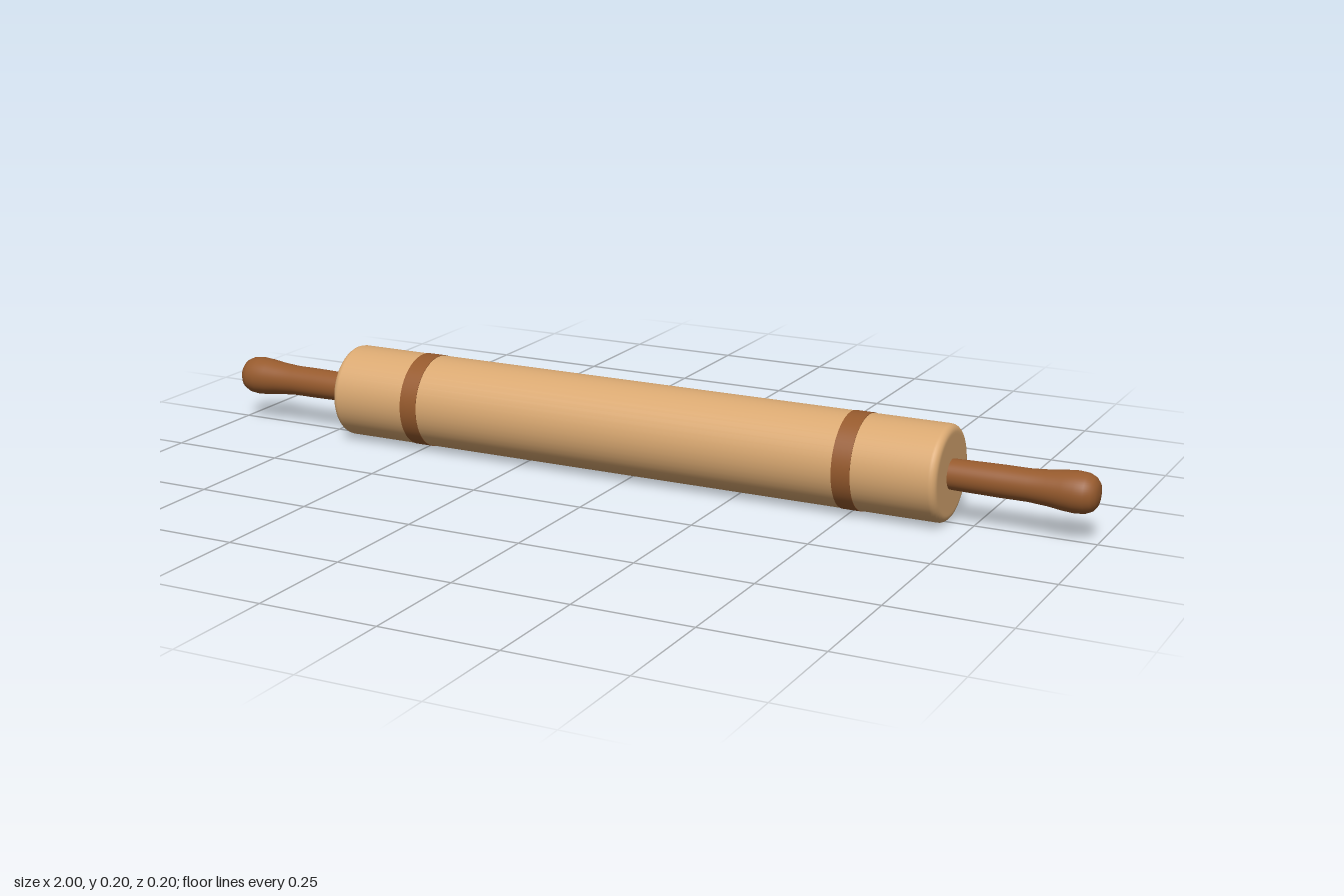
import * as THREE from 'three';

const SEGMENTS = 48;
const AXIS_HEIGHT = 0.1;

// Turned part: profile of [radius, distance along the axis], spun and laid along x
function turned(name, profile, material, side = 1) {
  const points = profile.map(([r, d]) => new THREE.Vector2(r, d));
  const geometry = new THREE.LatheGeometry(points, SEGMENTS);
  geometry.rotateZ(-side * Math.PI / 2);
  const mesh = new THREE.Mesh(geometry, material);
  mesh.name = name;
  return mesh;
}

export function createModel() {
  const paleWood = new THREE.MeshStandardMaterial({ color: 0xd9a871 });
  paleWood.name = 'pale wood';
  const darkWood = new THREE.MeshStandardMaterial({ color: 0x965a2d });
  darkWood.name = 'dark wood';

  const model = new THREE.Group();
  model.name = 'rollingPin';
  const pin = new THREE.Group();
  pin.name = 'pin';
  pin.position.y = AXIS_HEIGHT;
  model.add(pin);

  // Roller with rounded rims
  const radius = 0.0995, half = 0.7, round = 0.015;
  const rim = [];
  for (let i = 0; i <= 6; i++) {
    const a = (i / 6) * Math.PI / 2;
    rim.push([radius - round + round * Math.cos(a), half - round + round * Math.sin(a)]);
  }
  const upper = [...rim, [0.08, half], [0, half]];
  const lower = upper.map(([r, d]) => [r, -d]).reverse();
  pin.add(turned('roller', [...lower, ...upper], paleWood));

  // Handle: slim neck swelling into a domed knob
  const handle = [
    [0.031, 0.69], [0.032, 0.74], [0.033, 0.8], [0.033, 0.86], [0.036, 0.9],
    [0.04, 0.93], [0.042, 0.955], [0.04, 0.975], [0.034, 0.988], [0.024, 0.996],
    [0.012, 0.999], [0, 1],
  ];

  for (const side of [1, -1]) {
    const prefix = side > 0 ? 'left' : 'right';
    pin.add(turned(prefix + 'Handle', handle, darkWood, side));

    // Thin inlaid band around the roller
    const band = new THREE.Mesh(
      new THREE.CylinderGeometry(0.1005, 0.1005, 0.04, SEGMENTS), darkWood);
    band.name = prefix + 'Band';
    band.rotation.z = Math.PI / 2;
    band.position.x = side * 0.503;
    pin.add(band);
  }

  return model;
}
